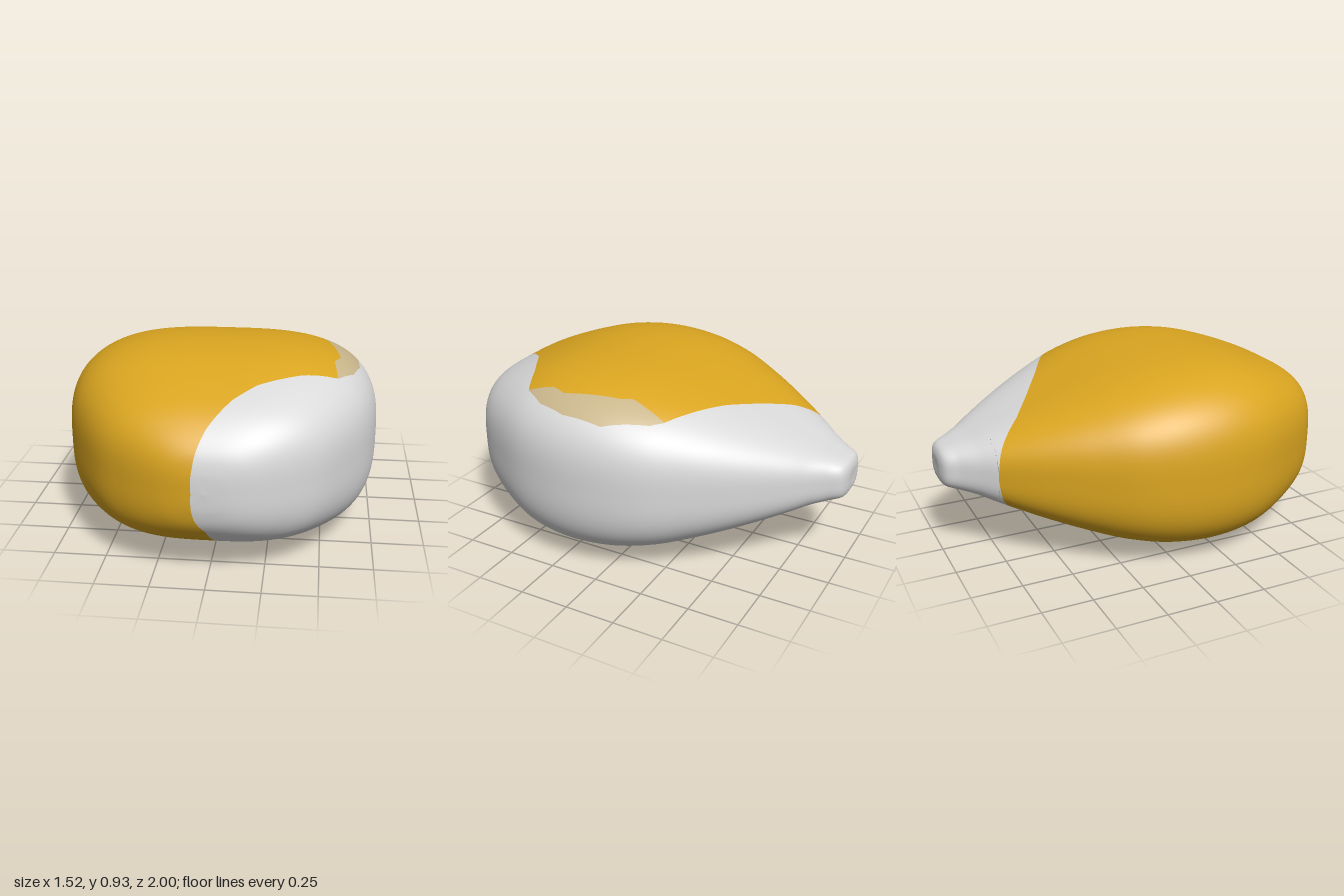
import * as THREE from 'three';

const CENTRE_Y = 0.466;
const N = 3.1; // squareness of the cross-sections

// Half width, half height and z along the body, tip to blunt end
const profile = new THREE.CatmullRomCurve3([
  [0, 0, -1], [0.075, 0.06, -0.999], [0.122, 0.092, -0.98], [0.165, 0.115, -0.92],
  [0.225, 0.138, -0.85], [0.3, 0.175, -0.77], [0.44, 0.25, -0.6], [0.58, 0.33, -0.4],
  [0.69, 0.4, -0.2], [0.745, 0.447, 0], [0.757, 0.465, 0.22], [0.722, 0.45, 0.42],
  [0.64, 0.405, 0.6], [0.5, 0.327, 0.8], [0.37, 0.258, 0.9], [0.225, 0.175, 0.968],
  [0.12, 0.098, 0.993], [0, 0, 1],
].map((p) => new THREE.Vector3(...p)));

// Colour borders as [z, x]: over the top, along the underside, outer rim of the patch
const topBorder = [
  [-0.775, -0.3], [-0.63, -0.15], [-0.53, 0], [-0.41, 0.2], [-0.31, 0.4], [-0.25, 0.51],
  [-0.2, 0.5], [-0.07, 0.48], [-0.02, 0.51], [0.15, 0.55], [0.25, 0.57], [0.33, 0.54],
  [0.47, 0.555], [0.54, 0.4], [0.66, 0.2], [0.76, 0.1], [0.9, 0], [0.99, -0.05], [1, -0.06],
];
const underBorder = [
  [-0.775, -0.3], [-0.67, -0.2], [-0.57, -0.09], [-0.26, -0.02], [0.15, -0.015],
  [0.4, 0.01], [0.6, 0.045], [0.78, 0.05], [0.95, 0], [0.99, -0.05], [1, -0.06],
];
const patchBorder = [
  [-0.25, 0.51], [-0.2, 0.56], [0, 0.66], [0.2, 0.665], [0.35, 0.63], [0.47, 0.555],
];

// Linear lookup, -1 outside the listed range
function borderX(table, z) {
  for (let i = 1; i < table.length; i++) {
    const [z0, x0] = table[i - 1], [z1, x1] = table[i];
    if (z >= z0 && z <= z1) return x0 + (x1 - x0) * (z - z0) / (z1 - z0);
  }
  return -1;
}

// Angle in the unit cross-section at which x is reached on the upper half
function angleAt(x, a) {
  const X = THREE.MathUtils.clamp(x / a, -1, 1);
  return Math.atan2((1 - Math.abs(X) ** N) ** (1 / N), X);
}

// Cross-section rows with their sizes, slopes and border angles
function makeRows(count) {
  const rows = [];
  for (let i = 0; i <= count; i++) {
    const t = i / count;
    const p = profile.getPoint(t);
    const lo = Math.max(0, t - 0.002), hi = Math.min(1, t + 0.002);
    const slope = profile.getPoint(hi).sub(profile.getPoint(lo));
    const a = Math.max(p.x, 1e-4), b = Math.max(p.y, 1e-4);
    const xTop = borderX(topBorder, p.z);
    rows.push({
      a, b, z: p.z, slope,
      top: angleAt(xTop, a),
      under: 2 * Math.PI - angleAt(borderX(underBorder, p.z), a),
      patch: angleAt(Math.max(xTop, borderX(patchBorder, p.z)), a),
    });
  }
  return rows;
}

// Strip of the shell between two angles given per row
function shellStrip(rows, columns, from, to) {
  const position = [], normal = [], index = [];
  const n = new THREE.Vector3();
  rows.forEach((row, i) => {
    const start = from(row), end = to(row);
    for (let j = 0; j <= columns; j++) {
      const angle = start + (end - start) * j / columns;
      const c = Math.cos(angle), s = Math.sin(angle);
      const r = (Math.abs(c) ** N + Math.abs(s) ** N) ** (-1 / N);
      const X = c * r, Y = s * r;
      position.push(row.a * X, CENTRE_Y + row.b * Y, row.z);
      const gx = Math.sign(X) * Math.abs(X) ** (N - 1) / row.a;
      const gy = Math.sign(Y) * Math.abs(Y) ** (N - 1) / row.b;
      n.set(gx * row.slope.z, gy * row.slope.z,
        -(gx * X * row.slope.x + gy * Y * row.slope.y)).normalize();
      normal.push(n.x, n.y, n.z);
      if (i < rows.length - 1 && j < columns) {
        const k = i * (columns + 1) + j, m = k + columns + 1;
        index.push(k, k + 1, m, k + 1, m + 1, m);
      }
    }
  });
  const geometry = new THREE.BufferGeometry();
  geometry.setAttribute('position', new THREE.Float32BufferAttribute(position, 3));
  geometry.setAttribute('normal', new THREE.Float32BufferAttribute(normal, 3));
  geometry.setIndex(index);
  return geometry;
}

export function createModel() {
  const group = new THREE.Group();
  group.name = 'seed';
  const rows = makeRows(221);
  const add = (name, materialName, color, geometry) => {
    const material = new THREE.MeshStandardMaterial({ color });
    material.name = materialName;
    const mesh = new THREE.Mesh(geometry, material);
    mesh.name = name;
    group.add(mesh);
  };

  // Golden skin round the right side
  add('goldenSkin', 'gold', 0xdaa520, shellStrip(rows, 80, (r) => r.top, (r) => r.under));
  // Pale skin over the left side and the tip
  add('paleSkin', 'pale grey', 0xd9d9d9,
    shellStrip(rows, 80, (r) => r.under - 2 * Math.PI, (r) => r.patch));
  // Beige patch on the upper left shoulder
  const patchRows = rows.filter((r) => r.z > -0.27 && r.z < 0.49);
  add('shoulderPatch', 'beige', 0xc9b68c, shellStrip(patchRows, 12, (r) => r.patch, (r) => r.top));
  return group;
}
